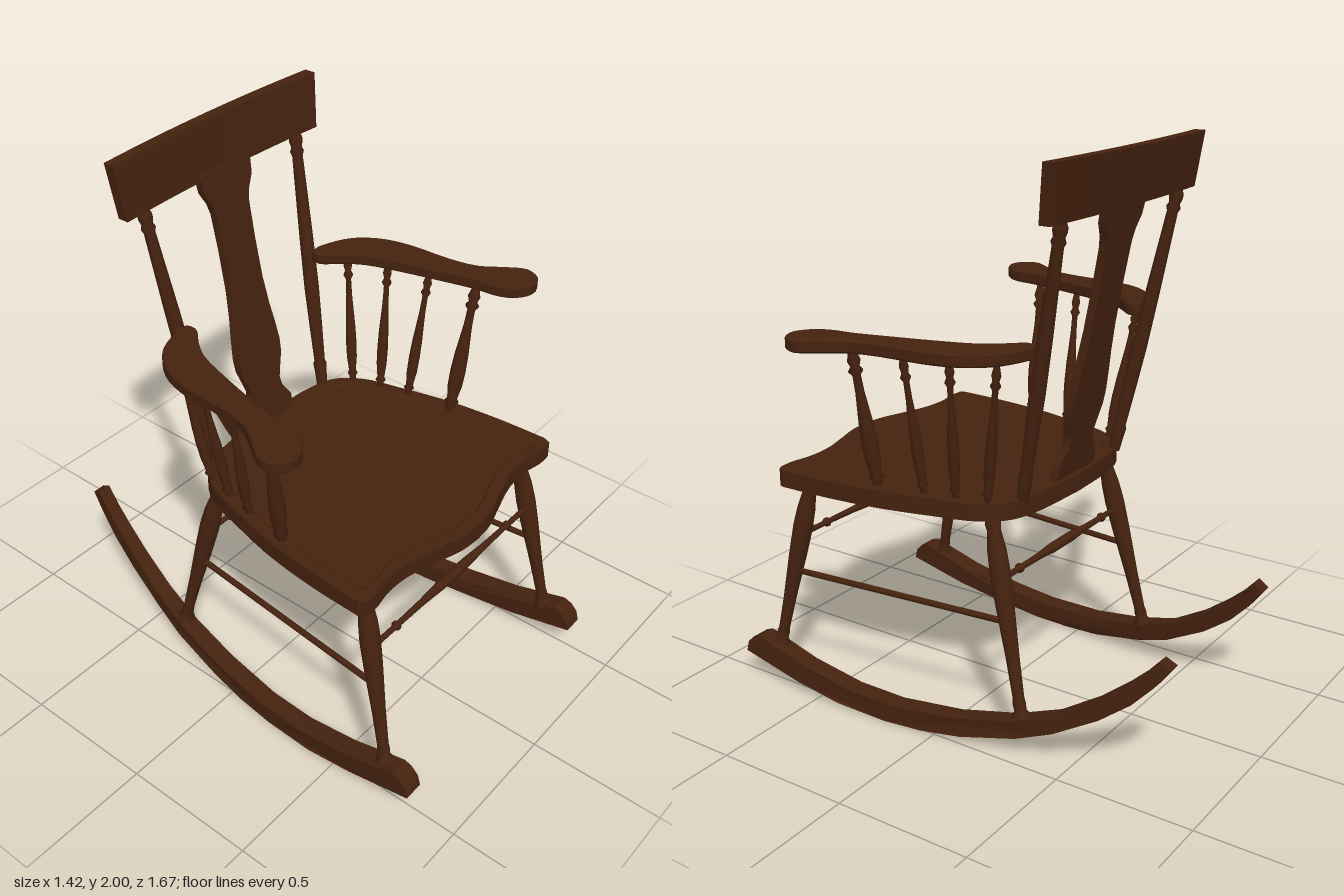
import * as THREE from 'three';
import { toCreasedNormals } from 'three/addons/utils/BufferGeometryUtils.js';

const wood = new THREE.MeshStandardMaterial({ color: 0x45220f });
wood.name = 'dark walnut';

const V = (x, y, z) => new THREE.Vector3(x, y, z);

function part(name, geometry) {
  const mesh = new THREE.Mesh(geometry, wood);
  mesh.name = name;
  return mesh;
}

// Move every vertex by a rule, then refresh the normals
function bend(geometry, rule) {
  const p = geometry.attributes.position, v = new THREE.Vector3();
  for (let i = 0; i < p.count; i++) {
    rule(v.fromBufferAttribute(p, i));
    p.setXYZ(i, v.x, v.y, v.z);
  }
  geometry.computeVertexNormals();
  return toCreasedNormals(geometry, 0.6);
}

// Lathe-turned rod from a to b; profile holds [radius, fraction of length]
function turned(name, a, b, profile) {
  const axis = b.clone().sub(a), length = axis.length();
  const points = profile.map(([r, t]) => new THREE.Vector2(r, t * length));
  const mesh = part(name, new THREE.LatheGeometry(points, 14));
  mesh.position.copy(a);
  mesh.quaternion.setFromUnitVectors(V(0, 1, 0), axis.normalize());
  return mesh;
}

// Piecewise linear lookup in a list of [key, value], keys ascending
function lookup(table, k) {
  for (let i = 1; i < table.length; i++) {
    const [k0, v0] = table[i - 1], [k1, v1] = table[i];
    if (k <= k1) return v0 + (v1 - v0) * (k - k0) / (k1 - k0);
  }
  return table[table.length - 1][1];
}

const shapeOf = (pairs) => new THREE.Shape(pairs.map(([x, y]) => new THREE.Vector2(x, y)));
const spline = (pairs, n, closed = false) =>
  new THREE.CatmullRomCurve3(pairs.map(([x, z]) => V(x, 0, z)), closed, 'centripetal')
    .getPoints(n).map((p) => [p.x, p.z]);

// Turning profiles, from the lower end to the upper end
const LEG = [[0.016, 0], [0.022, 0.03], [0.034, 0.06], [0.034, 0.075], [0.021, 0.1], [0.023, 0.13],
  [0.02, 0.16], [0.024, 0.35], [0.033, 0.6], [0.036, 0.74], [0.033, 0.84], [0.024, 0.93], [0.028, 0.96], [0.02, 1]];
const POST = [[0.02, 0], [0.022, 0.05], [0.025, 0.09], [0.02, 0.1], [0.024, 0.25], [0.027, 0.4], [0.025, 0.6],
  [0.019, 0.9], [0.025, 0.915], [0.019, 0.93], [0.024, 0.95], [0.024, 0.965], [0.017, 0.98], [0.017, 1]];
const SPINDLE = [[0.6, 0], [0.6, 0.05], [0.95, 0.07], [0.65, 0.09], [0.95, 0.2], [1, 0.32], [0.9, 0.45],
  [0.55, 0.68], [0.5, 0.8], [0.9, 0.83], [0.55, 0.86], [0.8, 0.9], [0.5, 0.96], [0.5, 1]];
const STRETCHER = [[0.01, 0], [0.01, 0.13], [0.017, 0.14], [0.017, 0.15], [0.01, 0.16], [0.012, 0.3],
  [0.018, 0.42], [0.018, 0.58], [0.012, 0.7], [0.01, 0.84], [0.017, 0.85], [0.017, 0.86], [0.01, 0.87], [0.01, 1]];
const ROD = [[0.011, 0], [0.011, 1]];

// Seat: stacked outlines with a raised rim around a shallow dish
function seatGeometry() {
  const front = spline([[0, 0.692], [0.08, 0.685], [0.18, 0.655], [0.3, 0.622], [0.4, 0.618], [0.48, 0.632], [0.535, 0.63]], 16);
  const side = spline([[0.543, 0.61], [0.535, 0.42], [0.51, 0.21], [0.465, 0.02], [0.42, -0.13],
    [0.35, -0.215], [0.24, -0.25], [0, -0.265]], 26);
  const half = [...front, ...side];
  const outline = [...half, ...half.slice(1, -1).reverse().map(([x, z]) => [-x, z])];
  const rings = [[0, 0.8], [1, 0.8], [1, 0.862], [0.99, 0.87], [0.92, 0.87], [0.9, 0.863], [0, 0.861]];
  const at = ([s, y], k) => {
    const [x, z] = outline[k % outline.length];
    return [x * s, y, 0.2 + (z - 0.2) * s];
  };
  const pos = [];
  for (let i = 0; i + 1 < rings.length; i++) {
    for (let k = 0; k < outline.length; k++) {
      const a = at(rings[i], k), b = at(rings[i], k + 1);
      const c = at(rings[i + 1], k + 1), d = at(rings[i + 1], k);
      if (rings[i][0] > 0) pos.push(...a, ...b, ...(rings[i + 1][0] > 0 ? c : d));
      if (rings[i + 1][0] > 0) pos.push(...a, ...c, ...d);
    }
  }
  const g = new THREE.BufferGeometry();
  g.setAttribute('position', new THREE.Float32BufferAttribute(pos, 3));
  g.computeVertexNormals();
  return toCreasedNormals(g, 0.4);
}

// Rocker: side outline in (z, y), extruded across and swept inward toward the rear
function rockerGeometry(s) {
  const outline = shapeOf([
    [0.836, 0.1], [0.587, 0.042], [0.4, 0.014], [0.2, 0], [0.05, 0.004], [-0.1, 0.02], [-0.31, 0.068], [-0.44, 0.116],
    [-0.6, 0.206], [-0.71, 0.29], [-0.78, 0.365], [-0.835, 0.44], [-0.795, 0.462], [-0.74, 0.4], [-0.68, 0.345],
    [-0.577, 0.264], [-0.44, 0.18], [-0.285, 0.127], [-0.07, 0.085], [0.164, 0.069], [0.35, 0.08], [0.56, 0.116],
    [0.77, 0.176], [0.8, 0.165], [0.825, 0.14]]);
  const g = new THREE.ExtrudeGeometry(outline, { depth: 1, bevelEnabled: false });
  g.translate(0, 0, -0.5);
  g.rotateY(-Math.PI / 2);
  const centre = [[-0.84, 0.343], [-0.46, 0.4], [-0.3, 0.43], [0.1, 0.485], [0.4, 0.508], [0.84, 0.511]];
  const width = [[-0.84, 0.05], [-0.3, 0.07], [0.84, 0.075]];
  return bend(g, (v) => { v.x = v.x * lookup(width, v.z) + s * lookup(centre, v.z); });
}

// Armrest: flat plank with a rounded hand rest
function armGeometry(s) {
  const outline = spline([[0.33, -0.305], [0.44, -0.28], [0.507, -0.235], [0.56, -0.155], [0.587, -0.045], [0.595, 0.11],
    [0.618, 0.22], [0.672, 0.3], [0.71, 0.37], [0.688, 0.425], [0.632, 0.445], [0.572, 0.412], [0.542, 0.355],
    [0.531, 0.267], [0.498, 0.133], [0.462, 0], [0.418, -0.133], [0.373, -0.2], [0.318, -0.267]], 57, true)
    .slice(0, -1).map(([x, z]) => [x * s, z]);
  const g = new THREE.ExtrudeGeometry(shapeOf(outline), {
    depth: 0.033, bevelThickness: 0.006, bevelSize: 0.006, bevelOffset: -0.006, bevelSegments: 1 });
  g.rotateX(Math.PI / 2);
  g.translate(0, 1.4, 0);
  return toCreasedNormals(g, 0.6);
}

// Back splat: vase outline leaning with the posts
function splatGeometry() {
  const right = [[0.117, 0.86], [0.117, 0.92], [0.1, 0.945], [0.08, 0.975], [0.075, 1.01], [0.088, 1.05], [0.105, 1.1],
    [0.108, 1.15], [0.1, 1.22], [0.088, 1.3], [0.079, 1.4], [0.077, 1.55], [0.08, 1.68], [0.09, 1.72],
    [0.115, 1.765], [0.121, 1.83]];
  const left = right.map(([x, y]) => [-x, y]).reverse();
  const g = new THREE.ExtrudeGeometry(shapeOf([...right, ...left]), { depth: 0.03, bevelEnabled: false });
  return bend(g, (v) => { v.z += -0.252 - 0.19 * (v.y - 0.87); });
}

// Crest rail: slightly bowed board, wider at the top and leaning back
function crestGeometry() {
  const g = new THREE.BoxGeometry(0.92, 0.19, 0.04, 14, 1, 1).toNonIndexed();
  return bend(g, (v) => {
    const up = v.y / 0.19 + 0.5;
    v.x *= 1 + 0.04 * up;
    v.z += -0.43 - 0.025 * up + 0.018 * (v.x / 0.48) ** 2;
    v.y += 1.905;
  });
}

export function createModel() {
  const chair = new THREE.Group();
  chair.name = 'rockingChair';
  chair.add(part('seat', seatGeometry()), part('backSplat', splatGeometry()), part('crestRail', crestGeometry()));

  // Arm spindles: [bottom x, bottom z, top x, top z, radius]
  const spindles = [[0.475, 0.235, 0.562, 0.257, 0.028], [0.445, 0.063, 0.53, 0.075, 0.02],
    [0.42, -0.048, 0.495, -0.085, 0.02], [0.39, -0.155, 0.445, -0.235, 0.02]];

  for (const s of [1, -1]) {
    const side = s > 0 ? 'left' : 'right';
    const add = (name, a, b, profile) => chair.add(turned(side + name, a, b, profile));
    chair.add(part(side + 'Rocker', rockerGeometry(s)), part(side + 'Armrest', armGeometry(s)));
    add('FrontLeg', V(s * 0.503, 0.1, 0.715), V(s * 0.45, 0.81, 0.56), LEG);
    add('BackLeg', V(s * 0.425, 0.08, -0.322), V(s * 0.362, 0.81, -0.152), LEG);
    add('SideStretcher', V(s * 0.477, 0.453, 0.637), V(s * 0.394, 0.453, -0.235), ROD);
    add('BackPost', V(s * 0.3, 0.86, -0.233), V(s * 0.372, 1.83, -0.42), POST);
    spindles.forEach(([x0, z0, x1, z1, r], i) =>
      add('ArmSpindle' + (i + 1), V(s * x0, 0.86, z0), V(s * x1, 1.37, z1), SPINDLE.map(([k, t]) => [k * r, t])));
  }

  // Cross stretchers between the legs
  chair.add(turned('frontStretcher', V(-0.465, 0.595, 0.607), V(0.465, 0.595, 0.607), STRETCHER));
  chair.add(turned('backStretcher', V(-0.38, 0.595, -0.202), V(0.38, 0.595, -0.202), STRETCHER));
  return chair;
}
